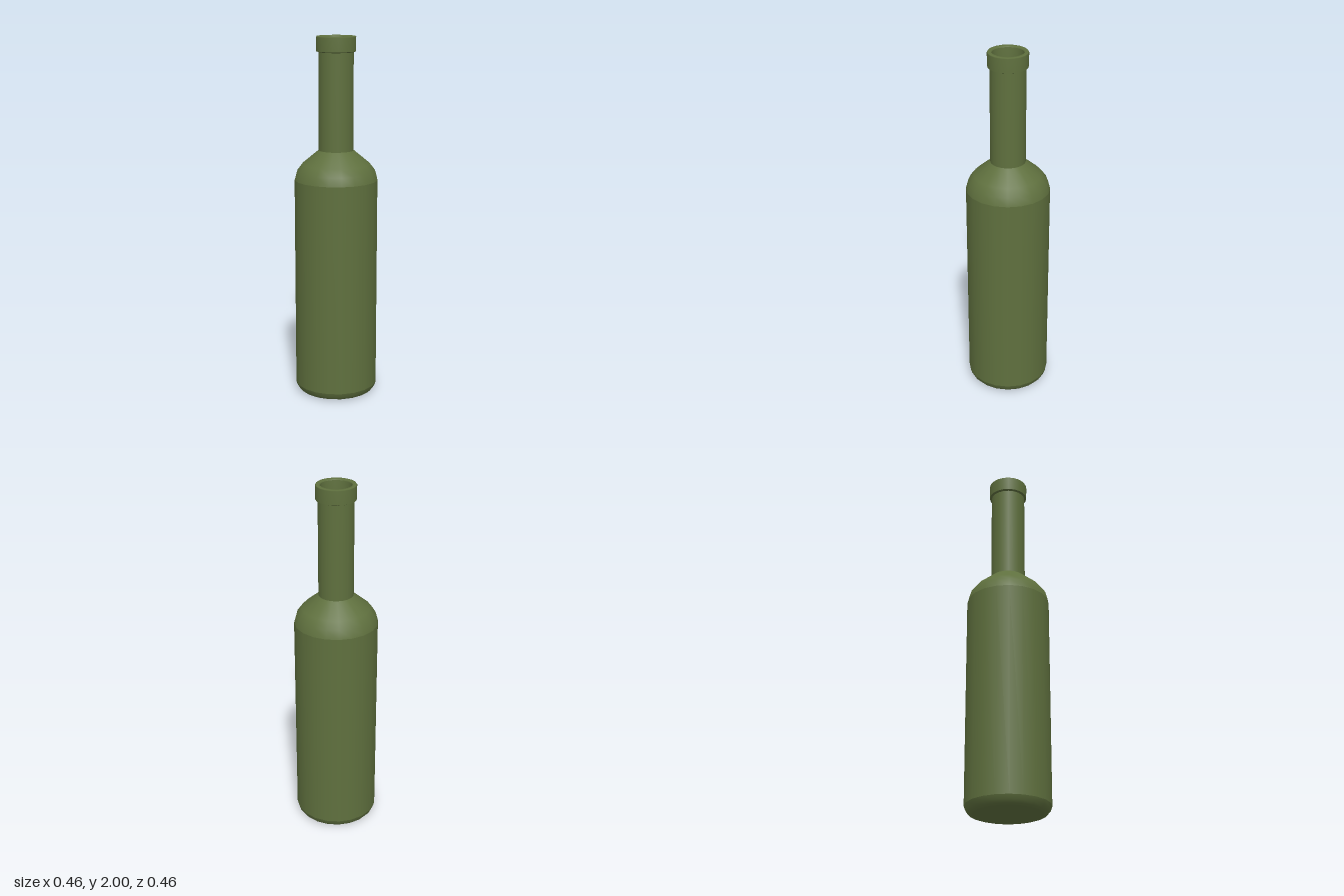
import * as THREE from 'three';

const SIDES = 20;

export function createModel() {
  const glass = new THREE.MeshStandardMaterial({ color: 0x5f703e });
  glass.name = 'olive green glass';

  const bottle = new THREE.Group();
  bottle.name = 'bottle';

  // Each band is smooth inside; the joins between bands stay sharp.
  // Profiles run up the outside and down the inside, as [radius, height].
  const bands = {
    base: [[0, 0], [0.19, 0]],
    baseEdge: [[0.19, 0], [0.208, 0.006], [0.222, 0.022], [0.23, 0.045]],
    body: [[0.23, 0.045], [0.23, 1.22]],
    shoulder: [[0.23, 1.22], [0.217, 1.267], [0.186, 1.308], [0.096, 1.383]],
    neck: [[0.096, 1.383], [0.096, 1.915]],
    lipUnderside: [[0.096, 1.915], [0.108, 1.92]],
    lip: [[0.108, 1.92], [0.109, 1.995], [0.106, 2], [0.088, 2], [0.085, 1.993]],
    bore: [[0.085, 1.993], [0.08, 1.91], [0.08, 1.38]],
    innerShoulder: [[0.08, 1.38], [0.172, 1.298], [0.202, 1.26], [0.214, 1.216]],
    innerWall: [[0.214, 1.216], [0.214, 0.03]],
    innerFloor: [[0.214, 0.03], [0, 0.03]],
  };

  for (const [name, profile] of Object.entries(bands)) {
    const points = profile.map(([r, y]) => new THREE.Vector2(r, y));
    const mesh = new THREE.Mesh(new THREE.LatheGeometry(points, SIDES), glass);
    mesh.name = name;
    bottle.add(mesh);
  }
  return bottle;
}
